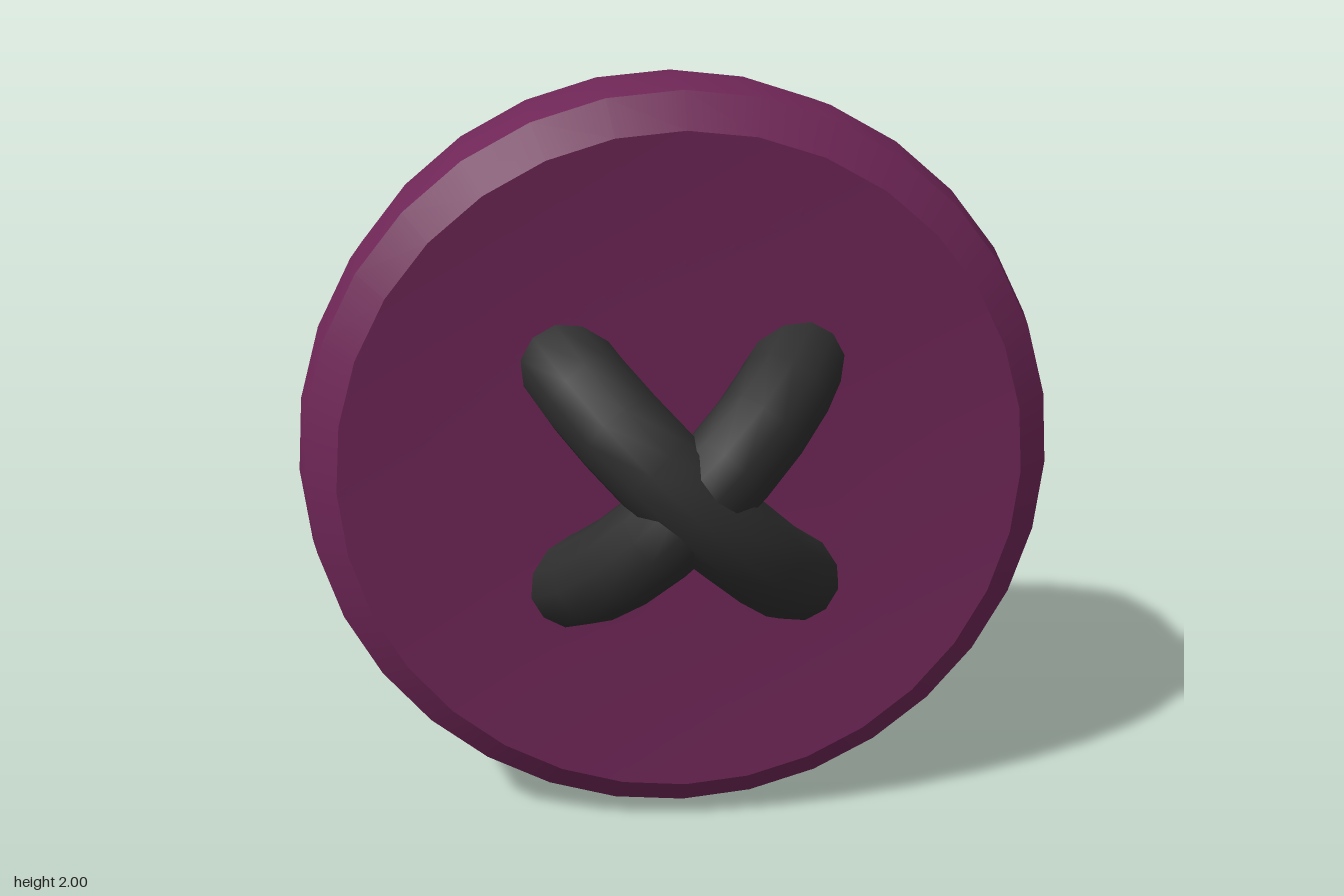
import * as THREE from 'three';

const SIDES = 32;

export function createModel() {
  const model = new THREE.Group();
  model.name = 'stitchedButton';

  const plum = new THREE.MeshStandardMaterial({ color: 0x6e2656 });
  plum.name = 'plum';
  const charcoal = new THREE.MeshStandardMaterial({ color: 0x2e2e2e });
  charcoal.name = 'charcoal';

  // Button disc: each strip is its own lathe so the edges between strips stay sharp
  const button = new THREE.Group();
  button.name = 'button';
  button.position.y = 1;
  model.add(button);

  function addStrip(name, profile) {
    const points = profile.map(([r, z]) => new THREE.Vector2(r, z));
    const geometry = new THREE.LatheGeometry(points, SIDES).rotateX(Math.PI / 2);
    const mesh = new THREE.Mesh(geometry, plum);
    mesh.name = name;
    button.add(mesh);
  }
  // The same strip on the back, with the profile reversed to keep it facing outward
  function addPair(name, profile) {
    addStrip('front' + name, profile);
    addStrip('back' + name, profile.map(([r, z]) => [r, -z]).reverse());
  }

  addStrip('rim', [[0.97, -0.245], [1, -0.125], [1, 0.125], [0.97, 0.245]]);
  addPair('Bevel', [[0.97, 0.245], [0.88, 0.318]]);
  addPair('Face', [[0.88, 0.318], [0.68, 0.302], [0.4, 0.288], [0, 0.282]]); // slightly dished

  // Two crossed thread loops passing through the disc
  for (const [name, radius, angle] of [
    ['outerThread', 0.493, Math.PI / 4],
    ['innerThread', 0.484, -Math.PI / 4],
  ]) {
    const geometry = new THREE.TorusGeometry(radius, 0.122, 12, 24).rotateY(Math.PI / 2);
    const thread = new THREE.Mesh(geometry, charcoal);
    thread.name = name;
    thread.position.y = 1;
    thread.rotation.z = angle;
    model.add(thread);
  }

  return model;
}
